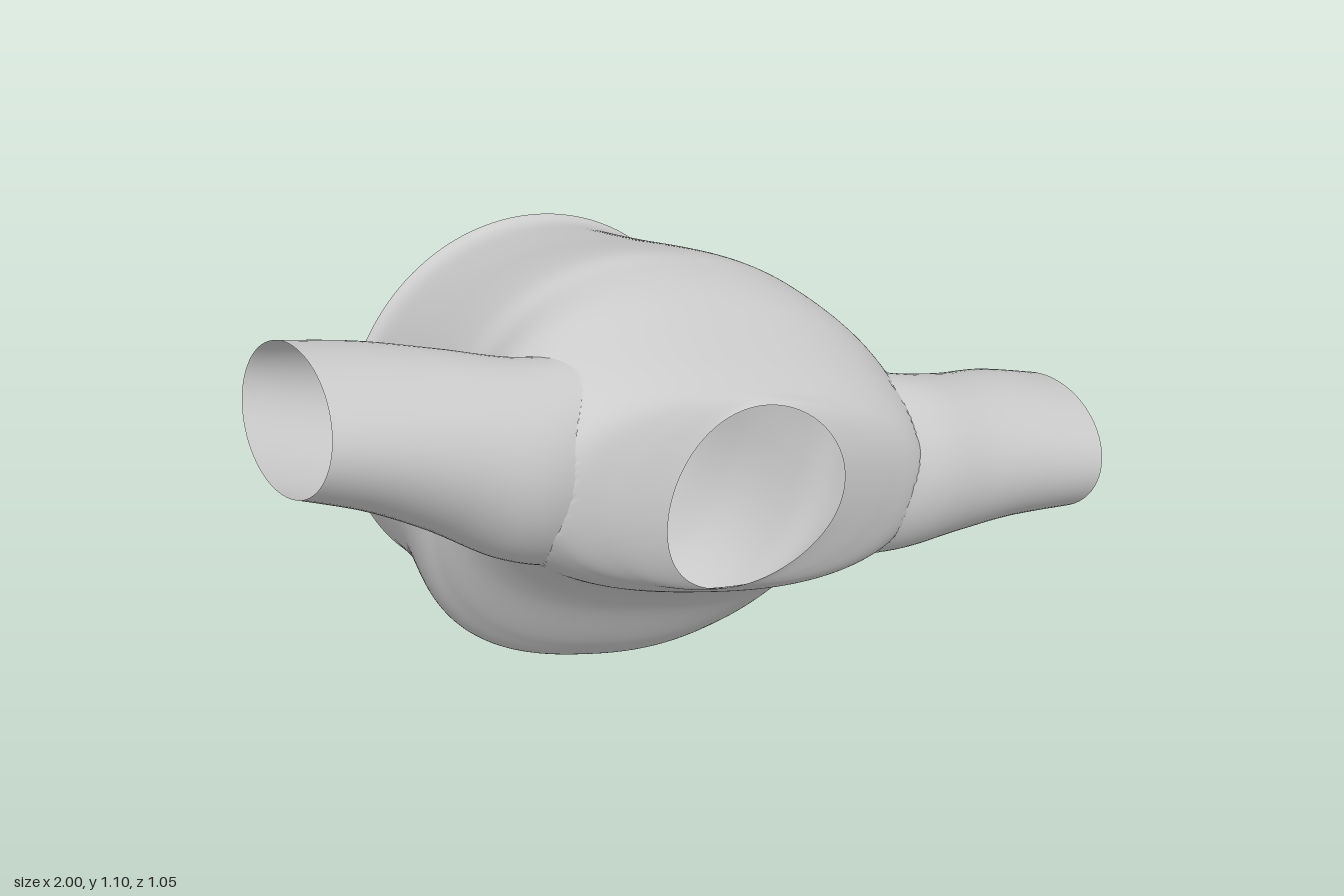
import * as THREE from 'three';

const material = new THREE.MeshStandardMaterial({ color: 0xcccccc, side: THREE.DoubleSide });

// Catmull-Rom interpolation of rows of numbers, t in 0..1
function sample(keys, t) {
  const n = keys.length - 1;
  const i = Math.min(n - 1, Math.floor(t * n)), f = t * n - i;
  const k = (j) => keys[Math.max(0, Math.min(n, j))];
  return keys[0].map((_, c) => {
    const [a, b, d, e] = [k(i - 1)[c], k(i)[c], k(i + 1)[c], k(i + 2)[c]];
    return b + 0.5 * f * (d - a + f * (2 * a - 5 * b + 4 * d - e + f * (3 * (b - d) + e - a)));
  });
}

// Solve rising(t) = 0 by bisection
function solve(rising) {
  let lo = 0, hi = 1;
  for (let i = 0; i < 22; i++) {
    const mid = (lo + hi) / 2;
    if (rising(mid) < 0) lo = mid; else hi = mid;
  }
  return (lo + hi) / 2;
}

// Skin over a closed-ring grid. snap() may return a rim point for a corner that lies
// in an opening: quads wholly in the opening are left out, the others end on its rim.
function skin(rows, cols, point, snap = () => null, flip = false) {
  const pts = [], gone = [], index = [];
  for (let r = 0; r <= rows; r++) {
    for (let c = 0; c < cols; c++) {
      const p = point(r / rows, (c / cols) * Math.PI * 2), rim = snap(p);
      pts.push(rim || p);
      gone.push(rim !== null);
    }
  }
  for (let r = 0; r < rows; r++) {
    for (let c = 0; c < cols; c++) {
      const a = r * cols + c, b = r * cols + ((c + 1) % cols), d = a + cols, e = b + cols;
      if (gone[a] && gone[b] && gone[d] && gone[e]) continue;
      if (flip) index.push(a, d, b, b, d, e);
      else index.push(a, b, d, b, e, d);
    }
  }
  const g = new THREE.BufferGeometry().setFromPoints(pts);
  g.setIndex(index);
  g.computeVertexNormals();
  return g;
}

// Body sections from hem to neck: z, centre x, centre y, half width, half height, tilt, squareness
const bodyKeys = [
  [-0.46, -0.055, 0.457, 0.48, 0.457, 0, 2],
  [-0.40, -0.055, 0.457, 0.472, 0.45, -0.04, 2.05],
  [-0.20, -0.058, 0.502, 0.48, 0.47, -0.16, 2.25],
  [0.00, -0.052, 0.517, 0.513, 0.505, -0.26, 2.4],
  [0.10, -0.03, 0.545, 0.535, 0.47, -0.27, 2.4],
  [0.20, -0.015, 0.605, 0.55, 0.385, -0.27, 2.4],
  [0.30, -0.01, 0.63, 0.55, 0.315, -0.27, 2.4],
  [0.40, -0.01, 0.63, 0.53, 0.27, -0.27, 2.4],
  [0.46, -0.01, 0.63, 0.48, 0.238, -0.27, 2.3],
  [0.487, -0.01, 0.63, 0.36, 0.228, -0.2, 2.15],
  [0.505, -0.01, 0.63, 0.222, 0.219, 0, 2],
];

function bodyPoint(t, angle) {
  const [z, cx, cy, a, b, tilt, n] = sample(bodyKeys, t);
  const c = Math.cos(angle), s = Math.sin(angle);
  const r = Math.pow(Math.abs(c) ** n + Math.abs(s) ** n, -1 / n);
  const u = a * r * c, v = b * r * s;
  const hem = THREE.MathUtils.smoothstep(-z, 0.2, 0.46);
  const neck = THREE.MathUtils.smoothstep(z, 0.42, 0.505);
  return new THREE.Vector3(
    cx + u * Math.cos(tilt) - v * Math.sin(tilt),
    cy + u * Math.sin(tilt) + v * Math.cos(tilt),
    z - hem * (0.0475 * s + 0.0225 * s * s) + neck * (0.018 * Math.cos(2 * angle) + 0.006 * s)
  );
}

function insideBody(p) {
  if (p.z < -0.4 || p.z > 0.5) return false;
  const t = solve((s) => sample(bodyKeys, s)[0] - p.z);
  const [, cx, cy, a, b, tilt, n] = sample(bodyKeys, t);
  const dx = p.x - cx, dy = p.y - cy, c = Math.cos(tilt), s = Math.sin(tilt);
  return Math.abs((dx * c + dy * s) / a) ** n + Math.abs((dy * c - dx * s) / b) ** n < 1;
}

// Sleeve sections from root to cuff: x, centre y, centre z, half height, half depth
const sleeveKeys = {
  rightSleeve: [
    [-0.20, 0.69, 0.28, 0.24, 0.16],
    [-0.36, 0.725, 0.295, 0.235, 0.175],
    [-0.50, 0.768, 0.30, 0.215, 0.192],
    [-0.65, 0.838, 0.275, 0.187, 0.208],
    [-0.80, 0.9, 0.255, 0.165, 0.22],
    [-0.96, 0.953, 0.25, 0.147, 0.22],
  ],
  leftSleeve: [
    [0.20, 0.56, 0.28, 0.23, 0.16],
    [0.36, 0.525, 0.295, 0.22, 0.175],
    [0.50, 0.50, 0.308, 0.205, 0.187],
    [0.65, 0.475, 0.285, 0.182, 0.202],
    [0.80, 0.452, 0.262, 0.165, 0.218],
    [0.96, 0.42, 0.26, 0.147, 0.22],
  ],
};
// Sleeve rings lean with the arm line
const up = new THREE.Vector2(0.266, 0.964), out = new THREE.Vector2(0.964, -0.266);

function sleevePoint(keys, s, angle) {
  const [x, y, z, h, d] = sample(keys, s);
  const v = h * Math.sin(angle);
  return new THREE.Vector3(x + up.x * v, y + up.y * v, z + d * Math.cos(angle));
}

// Point just within the sleeve wall beside p when p is inside the sleeve, otherwise null
function sleeveRim(keys, p) {
  const side = Math.sign(keys[0][0]);
  const along = (q) => side * (q[0] * out.x + q[1] * out.y);
  const target = along([p.x, p.y]);
  if (target < along(keys[0])) return null;
  const s = solve((t) => along(sample(keys, t)) - target);
  const [x, y, z, h, d] = sample(keys, s);
  const v = ((p.x - x) * up.x + (p.y - y) * up.y) / h, w = (p.z - z) / d;
  if (Math.hypot(v, w) >= 1) return null;
  return sleevePoint(keys, s, Math.atan2(v, w)).lerp(new THREE.Vector3(x, y, z), 0.02);
}

// Where a sleeve line, followed inward from the cuff, meets the body
function sleeveStart(keys, angle) {
  const steps = 300;
  for (let i = steps; i > 0; i--)
    if (insideBody(sleevePoint(keys, i / steps, angle))) return i / steps;
  return 0;
}

export function createModel() {
  const group = new THREE.Group();
  group.name = 'shirt';
  const add = (name, geometry) => {
    const mesh = new THREE.Mesh(geometry, material);
    mesh.name = name;
    group.add(mesh);
  };

  // Torso open at hem, neck and both armholes
  const { rightSleeve, leftSleeve } = sleeveKeys;
  add('torso', skin(140, 180, bodyPoint, (p) => sleeveRim(p.x < 0 ? rightSleeve : leftSleeve, p)));

  // Sleeves trimmed to the torso surface
  for (const [name, keys] of Object.entries(sleeveKeys)) {
    const starts = new Map();
    const point = (r, angle) => {
      if (!starts.has(angle)) starts.set(angle, sleeveStart(keys, angle));
      return sleevePoint(keys, THREE.MathUtils.lerp(starts.get(angle), 1, r), angle);
    };
    add(name, skin(24, 72, point, undefined, name === 'leftSleeve'));
  }
  return group;
}
